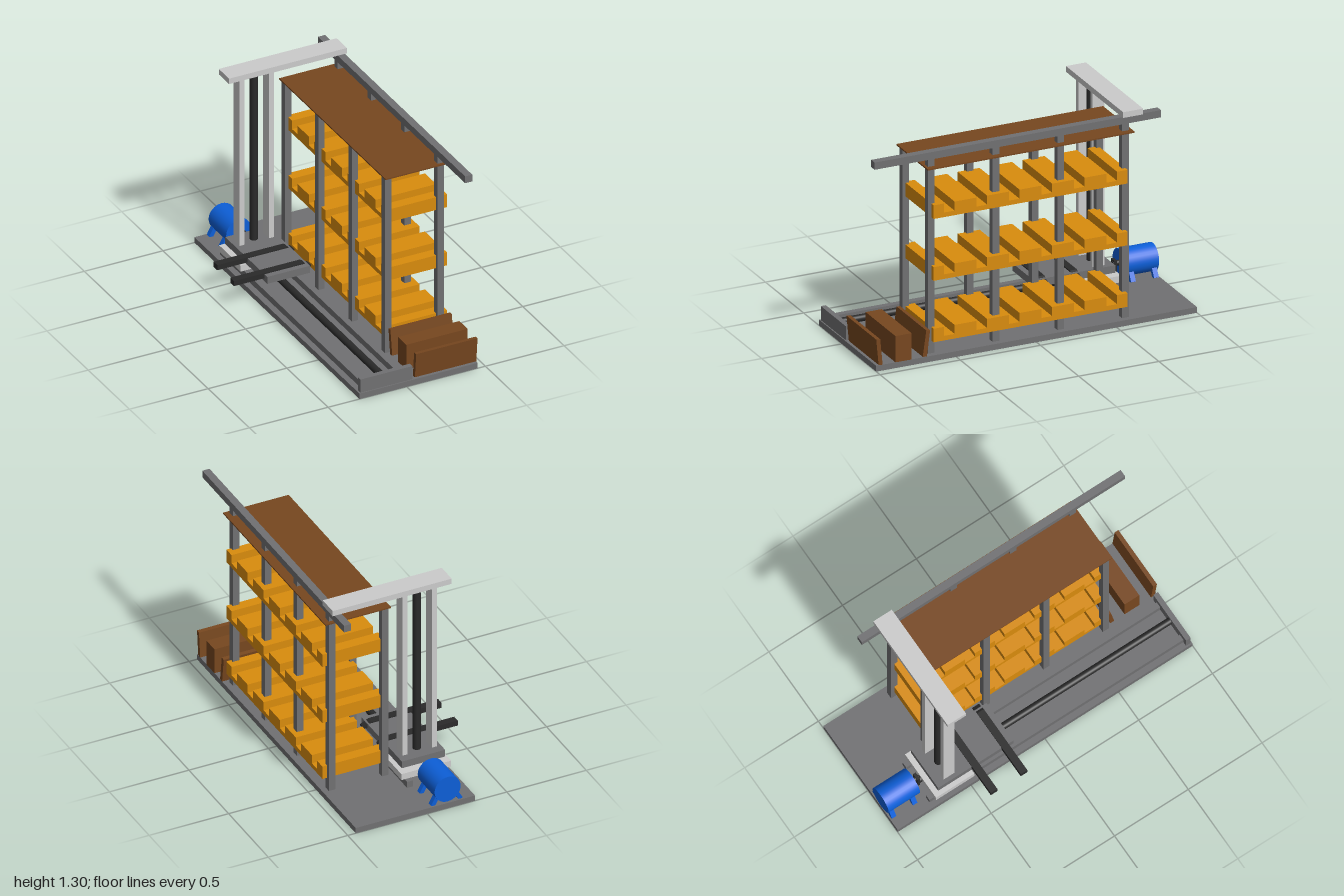
import * as THREE from 'three';

const mat = (color) => new THREE.MeshStandardMaterial({ color });

export function createModel() {
  const root = new THREE.Group();
  root.name = 'storageRackWithLift';
  const light = mat(0xcccccc), steel = mat(0x707072), black = mat(0x2a2a2a);
  const orange = mat(0xd98c0d), wood = mat(0x77471f), blue = mat(0x0d5fd8);

  const add = (name, geometry, material, parent = root) => {
    const mesh = new THREE.Mesh(geometry, material);
    mesh.name = name;
    parent.add(mesh);
    return mesh;
  };
  // Box given by its minimum and maximum on each axis
  const box = (name, material, x0, x1, y0, y1, z0, z1, parent) => {
    const mesh = add(name, new THREE.BoxGeometry(x1 - x0, y1 - y0, z1 - z0), material, parent);
    mesh.position.set((x0 + x1) / 2, (y0 + y1) / 2, (z0 + z1) / 2);
    return mesh;
  };
  // Cylinder along z
  const rod = (name, material, r, x, y, z0, z1, parent) => {
    const geometry = new THREE.CylinderGeometry(r, r, z1 - z0, 32).rotateX(Math.PI / 2);
    const mesh = add(name, geometry, material, parent);
    mesh.position.set(x, y, (z0 + z1) / 2);
    return mesh;
  };
  // Closed side profile of [z, y] points, extruded along x
  const sideProfile = (name, material, points, x0, x1) => {
    const shape = new THREE.Shape(points.map(([z, y]) => new THREE.Vector2(-z, y)));
    const geometry = new THREE.ExtrudeGeometry(shape, { depth: x1 - x0, bevelEnabled: false });
    const mesh = add(name, geometry.rotateY(Math.PI / 2), material);
    mesh.position.x = x0;
    return mesh;
  };

  box('basePlate', steel, -0.3, 0.45, 0, 0.035, -1, 1);

  // Rack posts, roof and overhead rail
  for (const z of [0.64, 0.237, -0.167, -0.57]) {
    box('innerPost', steel, 0.04, 0.08, 0.035, 1.166, z - 0.021, z + 0.021);
    box('outerPost', steel, 0.374, 0.415, 0.035, 1.22, z - 0.021, z + 0.021);
  }
  box('roofPanel', wood, 0.035, 0.447, 1.166, 1.174, -0.612, 0.677);
  box('overheadRail', steel, 0.374, 0.419, 1.218, 1.262, -0.79, 0.995);

  // Notched shelves
  const pitch = 0.2025, front = 0.64, back = -0.57;
  for (const y of [0.112, 0.487, 0.864]) {
    const floor = y + 0.028, top = y + 0.083;
    const profile = [[back, y], [front, y], [front, top]];
    for (let i = 0; i < 6; i++) {
      const z = 0.542 - i * pitch;
      profile.push([z + 0.033, top], [z + 0.033, floor], [z - 0.033, floor], [z - 0.033, top]);
    }
    profile.push([back, top]);
    sideProfile('notchedShelf', orange, profile, 0.06, 0.445);
  }

  // Crate and two leaning boards in front of the rack
  box('crate', wood, 0.06, 0.45, 0.035, 0.195, 0.78, 0.88);
  sideProfile('frontLeaningBoard', wood,
    [[0.96, 0.035], [0.985, 0.038], [1, 0.195], [0.975, 0.193]], 0.06, 0.45);
  sideProfile('rearLeaningBoard', wood,
    [[0.684, 0.035], [0.71, 0.038], [0.688, 0.195], [0.664, 0.192]], 0.06, 0.45);

  // Floor track with drive screw
  const cx = -0.128;
  box('trackEndPlate', steel, -0.29, 0.04, 0.035, 0.12, 0.962, 0.993);
  for (const side of [-1, 1]) {
    const x = cx + side * 0.117;
    box('trackRail', steel, x - 0.018, x + 0.018, 0.035, 0.075, -0.76, 0.965);
  }
  rod('driveScrew', black, 0.021, cx, 0.079, -0.76, 0.962);

  // Motor with splayed feet and belt to the screw
  const motor = new THREE.Group();
  motor.name = 'motor';
  root.add(motor);
  rod('motorBody', blue, 0.082, cx, 0.128, -1, -0.787, motor);
  rod('motorShaft', black, 0.016, cx, 0.128, -0.788, -0.745, motor);
  box('driveBelt', black, cx - 0.022, cx + 0.022, 0.052, 0.152, -0.766, -0.748, motor);
  for (const z of [-0.832, -0.975])
    for (const side of [-1, 1]) {
      const foot = add('motorFoot', new THREE.BoxGeometry(0.025, 0.065, 0.03), blue, motor);
      foot.position.set(cx + side * 0.073, 0.061, z);
      foot.rotation.z = side * 0.5;
    }

  // Moving carriage, mast columns, lift screw and top beam
  box('carriage', light, -0.285, 0.028, 0.076, 0.116, -0.73, -0.47);
  for (const side of [-1, 1]) {
    const x = cx + side * 0.093;
    box('mastColumn', light, x - 0.016, x + 0.016, 0.115, 1.264, -0.647, -0.573);
  }
  const lift = add('liftScrew', new THREE.CylinderGeometry(0.023, 0.023, 1.15, 32), black);
  lift.position.set(cx, 0.69, -0.61);
  box('topBeam', light, -0.317, 0.432, 1.262, 1.297, -0.673, -0.548);

  // Lifting platform with two tapered forks
  box('liftPlatform', steel, -0.262, 0.01, 0.133, 0.178, -0.7, -0.19);
  const fork = new THREE.Shape([[-0.455, 0.152], [0.035, 0.152], [0.035, 0.16], [-0.015, 0.185], [-0.455, 0.185]]
    .map(([x, y]) => new THREE.Vector2(x, y)));
  for (const z of [-0.45, -0.247]) {
    const geometry = new THREE.ExtrudeGeometry(fork, { depth: 0.045, bevelEnabled: false });
    add('fork', geometry, black).position.z = z - 0.0225;
  }

  return root;
}
